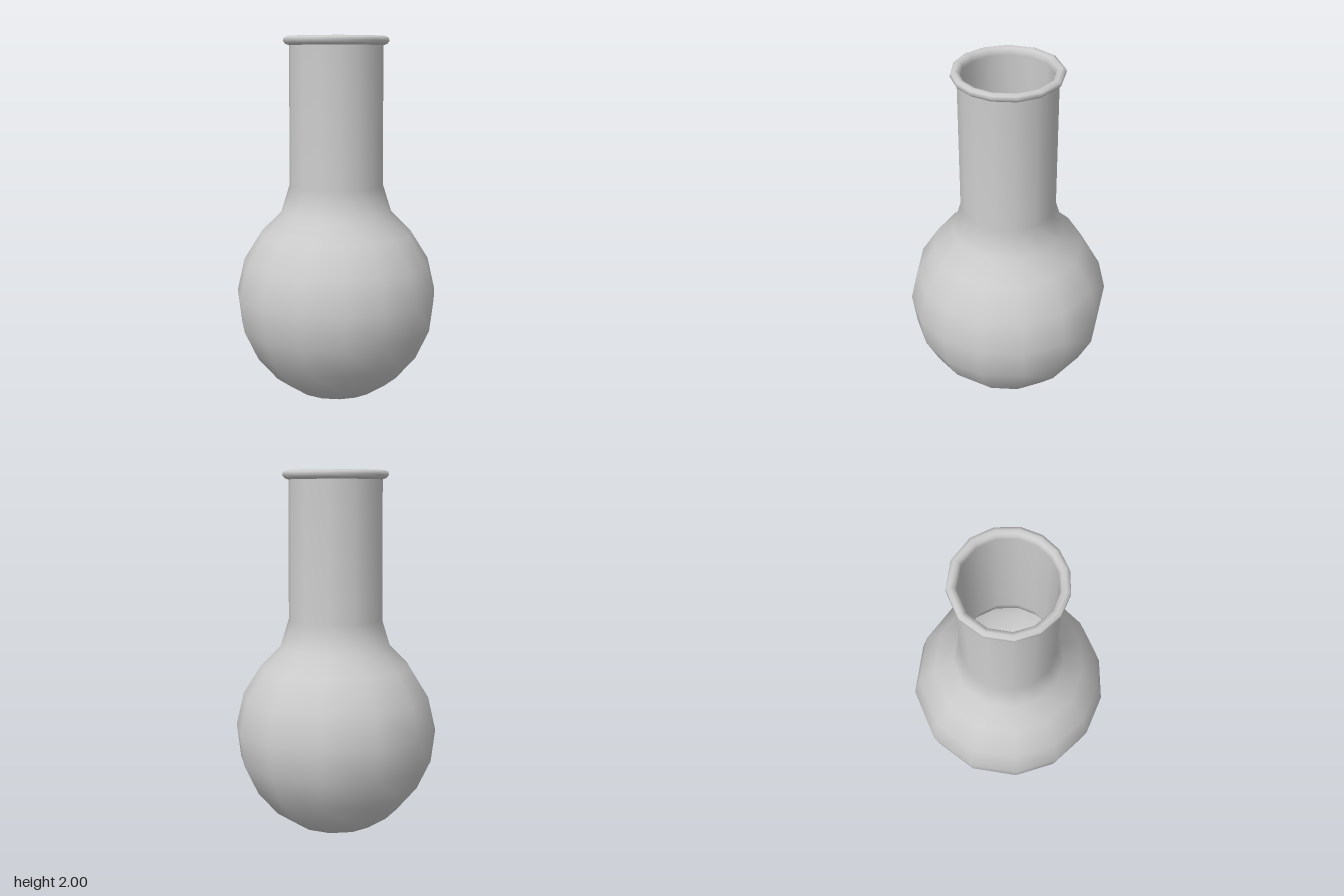
import * as THREE from 'three';

// Uneven angles (degrees about y) of the 14 sides, as on a hand-cut low-poly flask
const ANGLES = [-159, -131, -106, -81, -57, -33, -11, 10.5, 33, 58, 83, 111, 141.5, 173, 201];

const material = new THREE.MeshStandardMaterial({ color: 0xcccccc, side: THREE.DoubleSide });

// Lathe whose sides are turned to the uneven angles, keeping smooth normals
function turned(name, profile) {
  const points = profile.map(([r, y]) => new THREE.Vector2(r, y));
  const sides = ANGLES.length - 1;
  const geometry = new THREE.LatheGeometry(points, sides);
  const { position, normal } = geometry.attributes;
  const v = new THREE.Vector3();
  const up = new THREE.Vector3(0, 1, 0);
  for (let i = 0; i < position.count; i++) {
    const side = Math.floor(i / points.length);
    const turn = THREE.MathUtils.degToRad(ANGLES[side]) - (side / sides) * Math.PI * 2;
    for (const attribute of [position, normal]) {
      v.fromBufferAttribute(attribute, i).applyAxisAngle(up, turn);
      attribute.setXYZ(i, v.x, v.y, v.z);
    }
  }
  const mesh = new THREE.Mesh(geometry, material);
  mesh.name = name;
  return mesh;
}

export function createModel() {
  const group = new THREE.Group();
  group.name = 'roundFlask';

  // Round body running up into the straight neck
  group.add(turned('outerWall', [
    [0, 0], [0.06, 0.005], [0.23, 0.05], [0.35, 0.13], [0.46, 0.26], [0.535, 0.42],
    [0.557, 0.6], [0.515, 0.78], [0.415, 0.94], [0.305, 1.05], [0.258, 1.2], [0.254, 1.97],
  ]));

  // Rolled lip around the mouth
  group.add(turned('lip', [
    [0.25, 1.95], [0.275, 1.96], [0.287, 1.975], [0.283, 1.992], [0.265, 2],
    [0.246, 1.994], [0.237, 1.975], [0.237, 1.96],
  ]));

  // Inside of the neck and body, listed downwards so it faces inwards
  group.add(turned('innerWall', [
    [0.237, 1.965], [0.24, 1.19], [0.285, 1.04], [0.395, 0.93], [0.495, 0.77], [0.537, 0.6],
    [0.515, 0.43], [0.443, 0.275], [0.335, 0.148], [0.235, 0.065],
  ]));

  // Flat floor inside the body
  group.add(turned('innerFloor', [[0.235, 0.065], [0, 0.065]]));

  return group;
}
